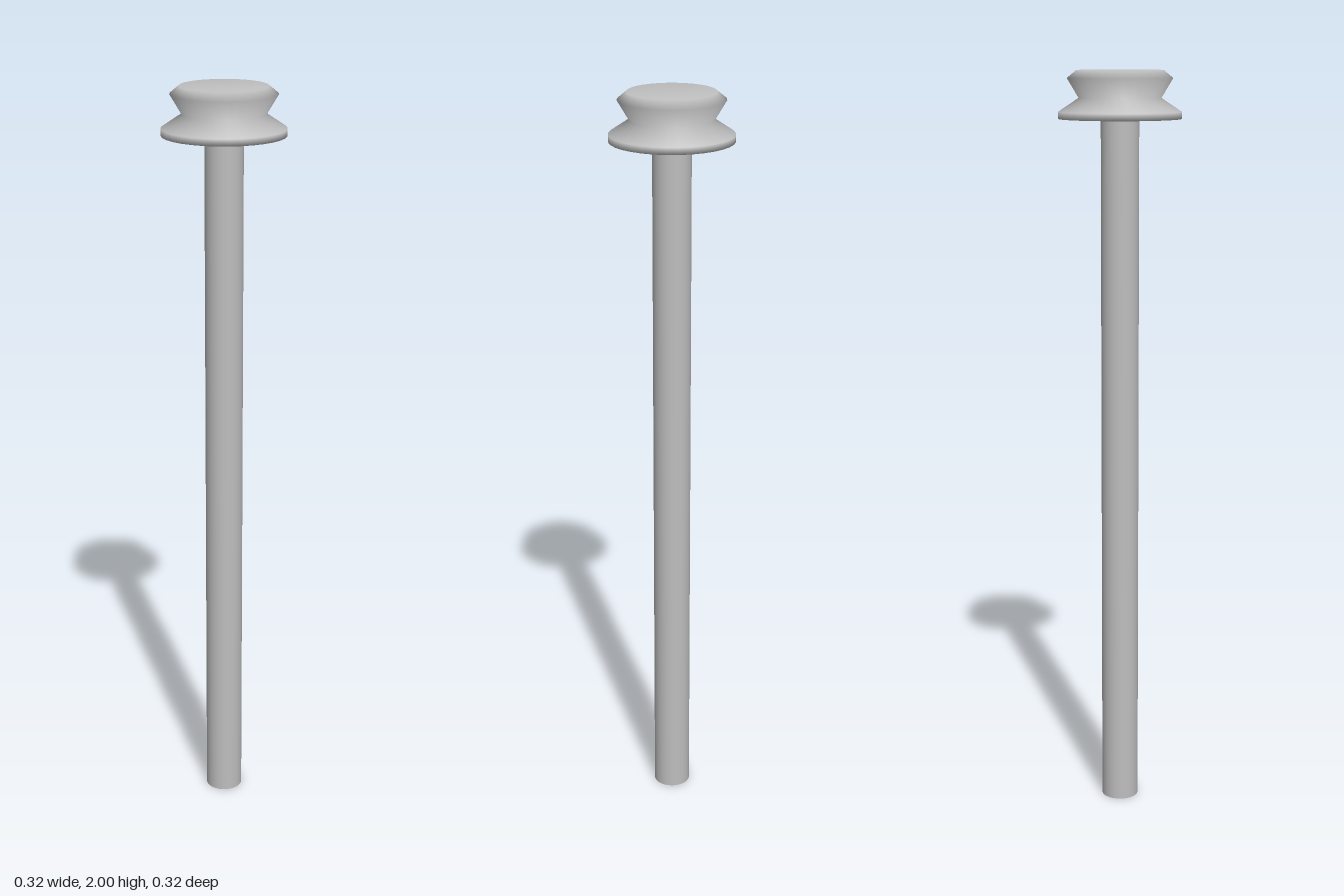
import * as THREE from 'three';

const SIDES = 32;

// Smooth turned part from [radius, height] pairs, listed bottom to top along the outside
function turned(name, profile, material) {
  const points = profile.map(([r, y]) => new THREE.Vector2(r, y));
  const mesh = new THREE.Mesh(new THREE.LatheGeometry(points, SIDES), material);
  mesh.name = name;
  return mesh;
}

export function createModel() {
  const group = new THREE.Group();
  group.name = 'pin';
  const metal = new THREE.MeshStandardMaterial({ color: 0xc0c0c0 });
  metal.name = 'grey metal';

  // Long shaft, spreading at the top into the recessed underside of the head
  group.add(turned('shaft', [
    [0, 0], [0.05, 0], [0.05, 1.9], [0.107, 1.9],
  ], metal));

  // Flanged head with a narrow waist and a bevelled cap
  group.add(turned('head', [
    [0.107, 1.9], [0.13, 1.877], [0.16, 1.877], [0.16, 1.895],
    [0.107, 1.93], [0.137, 1.98], [0.113, 2], [0, 2],
  ], metal));

  return group;
}
